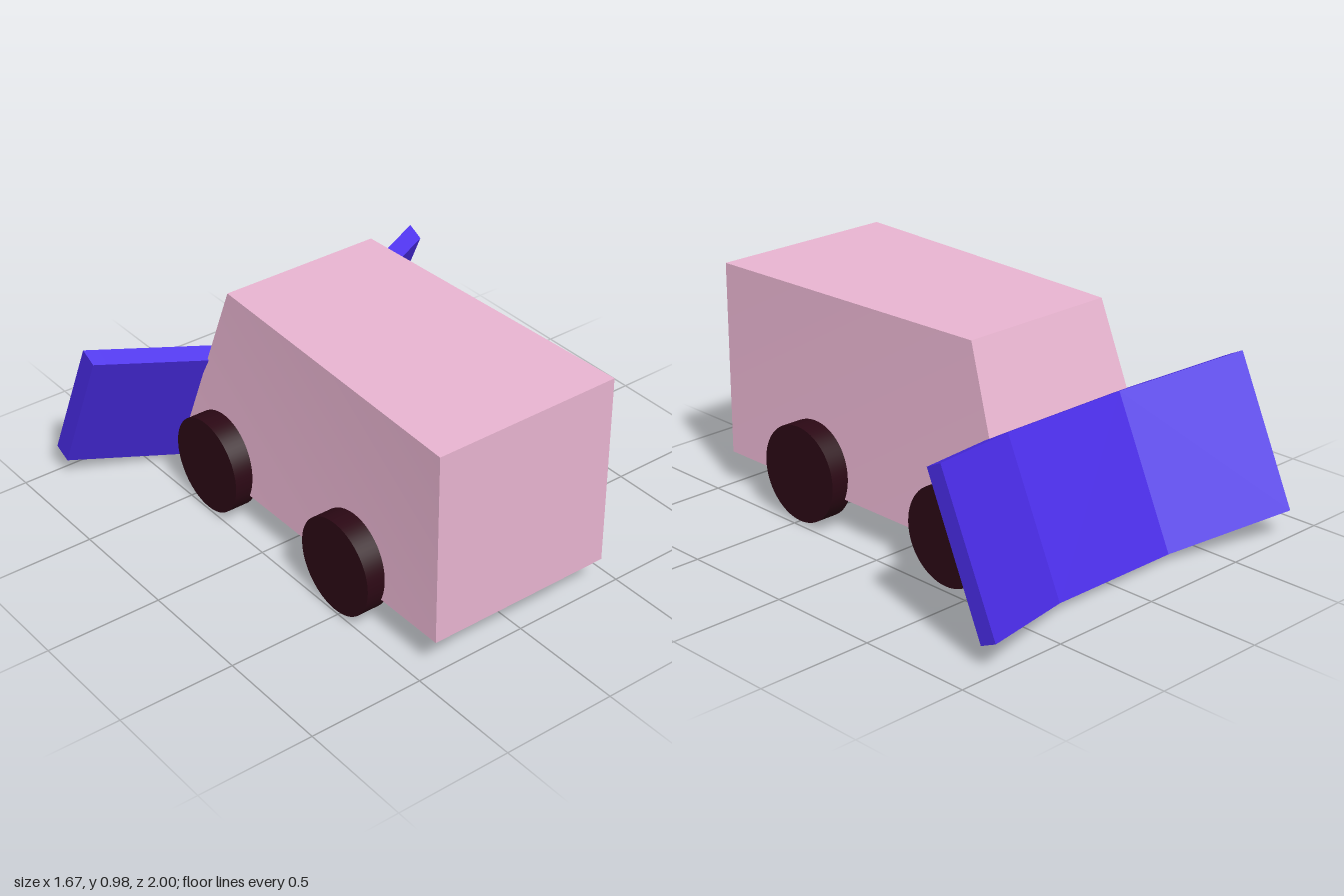
import * as THREE from 'three';
import { toCreasedNormals } from 'three/addons/utils/BufferGeometryUtils.js';

const material = (color) => new THREE.MeshStandardMaterial({ color });
const paint = material(0xe8b4d0);
const plough = material(0x4a2ce8);
const rubber = material(0x2b0814);

// Solid through four-cornered sections, each listed counter-clockwise as seen from the first end.
function loft(sections) {
  const points = [];
  const tri = (...corners) => corners.forEach((p) => points.push(...p.toArray()));
  for (let s = 0; s + 1 < sections.length; s++) {
    const a = sections[s], b = sections[s + 1];
    for (let i = 0; i < 4; i++) {
      const j = (i + 1) % 4;
      // split twisted sides along their shorter diagonal
      if (a[i].distanceTo(b[j]) <= a[j].distanceTo(b[i])) {
        tri(a[i], b[j], a[j]);
        tri(a[i], b[i], b[j]);
      } else {
        tri(a[i], b[i], a[j]);
        tri(a[j], b[i], b[j]);
      }
    }
  }
  const f = sections[0], l = sections[sections.length - 1];
  tri(f[0], f[1], f[2]); tri(f[0], f[2], f[3]);
  tri(l[0], l[2], l[1]); tri(l[0], l[3], l[2]);
  const geometry = new THREE.BufferGeometry();
  geometry.setAttribute('position', new THREE.Float32BufferAttribute(points, 3));
  return toCreasedNormals(geometry, 0.2);
}

function addMesh(parent, name, geometry, mat) {
  const mesh = new THREE.Mesh(geometry, mat);
  mesh.name = name;
  parent.add(mesh);
  return mesh;
}

export function createModel() {
  const model = new THREE.Group();
  model.name = 'ploughVan';
  const centre = -0.0075; // the van sits slightly off the blade's middle

  // Van body: square at the front, with a sloped, narrowing back
  const section = (bottomHalf, bottomZ, topHalf, topZ) => [
    new THREE.Vector3(-bottomHalf, 0.143, bottomZ),
    new THREE.Vector3(bottomHalf, 0.143, bottomZ),
    new THREE.Vector3(topHalf, 0.98, topZ),
    new THREE.Vector3(-topHalf, 0.98, topZ),
  ];
  const body = loft([section(0.4175, 1, 0.4175, 1), section(0.4175, -0.67, 0.3575, -0.38)]);
  addMesh(model, 'body', body, paint).position.x = centre;

  // Four wheels
  const wheel = new THREE.CylinderGeometry(0.207, 0.207, 0.1, 64).rotateZ(Math.PI / 2);
  for (const [end, z] of [['front', 0.48], ['back', -0.377]]) {
    for (const [side, sign] of [['Left', 1], ['Right', -1]]) {
      addMesh(model, `${end}${side}Wheel`, wheel, rubber).position.set(centre + sign * 0.4425, 0.219, z);
    }
  }

  // Tilted blade: a flat middle with two wings swept back and up
  const profile = [[0.61, -0.465], [0.645, -0.535], [0.034, -0.815], [0, -0.74]];
  const bladeSection = (x, dy, dz) => profile.map(([y, z]) => new THREE.Vector3(x, y + dy, z + dz));
  addMesh(model, 'blade', loft([
    bladeSection(-0.835, 0.085, -0.185),
    bladeSection(-0.31, 0, 0),
    bladeSection(0.31, 0, 0),
    bladeSection(0.835, 0.085, -0.185),
  ]), plough);

  return model;
}
